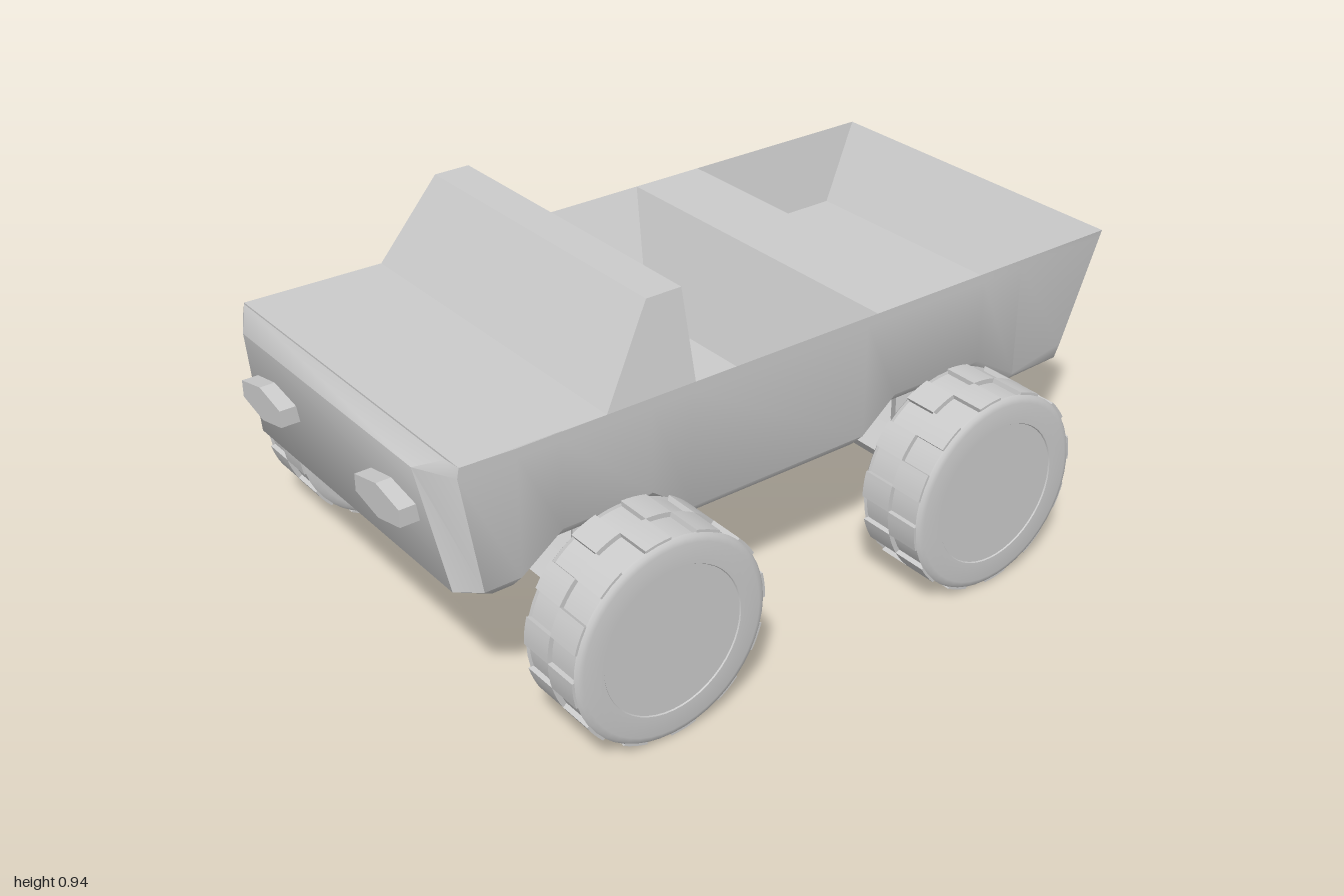
import * as THREE from 'three';
import { toCreasedNormals } from 'three/addons/utils/BufferGeometryUtils.js';

const mat = new THREE.MeshStandardMaterial({ color: 0xcccccc });
const thin = new THREE.MeshStandardMaterial({ color: 0xcccccc, side: THREE.DoubleSide });
const DECK = 0.72, W = 0.473;

function add(parent, name, geometry, material = mat) {
  const mesh = new THREE.Mesh(geometry, material);
  mesh.name = name;
  parent.add(mesh);
  return mesh;
}

// Closed ring from its left half, listed from back to front
const mirror = half => [...half, ...half.slice().reverse().map(([x, y, z]) => [-x, y, z])];
const rect = (y, w, back, front) => mirror([[w, y, back], [w, y, front]]);

// Joins mirrored rings of corners, with optional caps: down on the first, up on the last
function loft(rings, capFirst, capLast, crease = 0.45) {
  const pos = [];
  const quad = (a, b, c, d) => [a, b, c, a, c, d].forEach(p => pos.push(...p));
  for (let r = 0; r + 1 < rings.length; r++) {
    const lo = rings[r], up = rings[r + 1], n = lo.length;
    for (let i = 0; i < n; i++) {
      const j = (i + 1) % n;
      quad(lo[i], up[i], up[j], lo[j]);
    }
  }
  const cap = (ring, facesUp) => {
    const n = ring.length;
    for (let i = 0; i + 1 < n / 2; i++) {
      const c = [ring[i], ring[i + 1], ring[n - 2 - i], ring[n - 1 - i]];
      quad(...(facesUp ? c.reverse() : c));
    }
  };
  if (capFirst) cap(rings[0], false);
  if (capLast) cap(rings[rings.length - 1], true);
  const g = new THREE.BufferGeometry();
  g.setAttribute('position', new THREE.Float32BufferAttribute(pos, 3));
  return toCreasedNormals(g, crease);
}

// Wheel arches along the underside: [z, lift]
const ARCHES = [[-0.71, 0], [-0.58, 0.08], [-0.3, 0.08], [-0.2, 0],
  [0.32, 0], [0.43, 0.08], [0.67, 0.08], [0.78, 0]];

// Half outline of the hull at one level, with a cut front corner
const level = (y, w, rearW, rear, side, fw, front, lift = 0) => [
  [rearW, y, rear],
  ...ARCHES.map(([z, h]) => [w, y + h * lift, z]),
  [w, y, side], [fw, y, front]];

function makeBody() {
  const body = new THREE.Group();
  body.name = 'body';
  const rim = level(DECK, W, W, -1, 0.92, 0.445, 0.933);
  rim[rim.length - 2][1] = 0.725;
  rim[rim.length - 1][1] = 0.736;
  add(body, 'hull', loft([
    level(0.36, 0.435, 0.425, -0.92, 0.835, 0.405, 0.865, 1),
    level(0.40, W, 0.432, -0.929, 0.875, 0.43, 0.928, 1),
    level(0.70, W, 0.47, -0.996, 0.925, 0.375, 0.975),
    rim].map(mirror), true, false, 0.85), thin);

  add(body, 'hood', loft([mirror([[W, DECK, 0.55], ...rim.slice(-2)])], false, true), thin);
  add(body, 'windshield', loft([rect(DECK, W, 0.31, 0.55), rect(0.935, 0.427, 0.315, 0.41)], false, true), thin);
  add(body, 'seatDeck', loft([rect(DECK, W, -0.435, -0.23)], false, true), thin);
  // Sunken cabin and cargo bed, lofted downwards so they face inwards
  add(body, 'cabinTub', loft([rect(DECK, W, -0.23, 0.31), rect(0.44, 0.302, -0.135, 0.21)], false, true), thin);
  add(body, 'cargoBed', loft([rect(DECK, W, -1, -0.435), rect(0.52, 0.432, -0.875, -0.475)], false, true), thin);

  // Squashed six-sided headlights, a corner at top and bottom
  for (const s of [-1, 1]) {
    const g = new THREE.CylinderGeometry(1, 1, 0.08, 6).toNonIndexed();
    g.rotateX(Math.PI / 2).scale(0.107, 0.043, 1);
    g.computeVertexNormals();
    add(body, 'headlight', g).position.set(s * 0.262, 0.573, 0.96);
  }
  body.position.x = -0.008;
  return body;
}

// One toothed half of the tread; step turns it by half a tooth pitch
function treadRow(step) {
  const teeth = 12, shape = new THREE.Shape(), sub = 4;
  for (let i = 0; i < teeth * 2; i++) {
    const r = i % 2 ? 0.25 : 0.262;
    for (let k = 0; k <= sub; k++) {
      const a = (i + step + k / sub) * Math.PI / teeth;
      const x = r * Math.cos(a), y = r * Math.sin(a);
      if (i + k === 0) shape.moveTo(x, y);
      else shape.lineTo(x, y);
    }
  }
  const g = new THREE.ExtrudeGeometry(shape, { depth: 0.09, bevelEnabled: false });
  return toCreasedNormals(g, 0.4);
}

function makeWheel() {
  const wheel = new THREE.Group();
  wheel.name = 'wheel';
  // Sidewalls with rounded shoulders and a barely sunken hub disc
  const half = [[0, 0.096], [0.184, 0.096], [0.186, 0.099], [0.238, 0.099], [0.25, 0.096], [0.257, 0.089]];
  const pts = [...half.map(([r, y]) => [r, -y]), [0.249, -0.086], [0.249, 0.086], ...half.slice().reverse()];
  const tyre = new THREE.LatheGeometry(pts.map(p => new THREE.Vector2(...p)), 48);
  add(wheel, 'tyre', toCreasedNormals(tyre.rotateX(Math.PI / 2), 0.6));
  add(wheel, 'outerTread', treadRow(0));
  add(wheel, 'innerTread', treadRow(1)).position.z = -0.09;
  wheel.rotation.y = Math.PI / 2;
  return wheel;
}

export function createModel() {
  const model = new THREE.Group();
  model.name = 'openTruck';
  model.add(makeBody());

  for (const z of [0.547, -0.432]) {
    // Squashed six-sided axle, flat on top
    const axle = new THREE.CylinderGeometry(1, 1, 1.04, 6).toNonIndexed();
    axle.rotateZ(Math.PI / 2).scale(1, 0.0635, 0.095);
    axle.computeVertexNormals();
    add(model, 'axle', axle).position.set(0, 0.265, z);

    for (const s of [-1, 1]) {
      // Six-sided post from the axle up into the arch
      const post = new THREE.CylinderGeometry(0.043, 0.043, 0.18, 6).toNonIndexed();
      post.computeVertexNormals();
      add(model, 'post', post).position.set(s * 0.388 - 0.008, 0.36, z);

      const wheel = makeWheel();
      wheel.position.set(s * 0.596, 0.262, z);
      model.add(wheel);
    }
  }
  return model;
}
